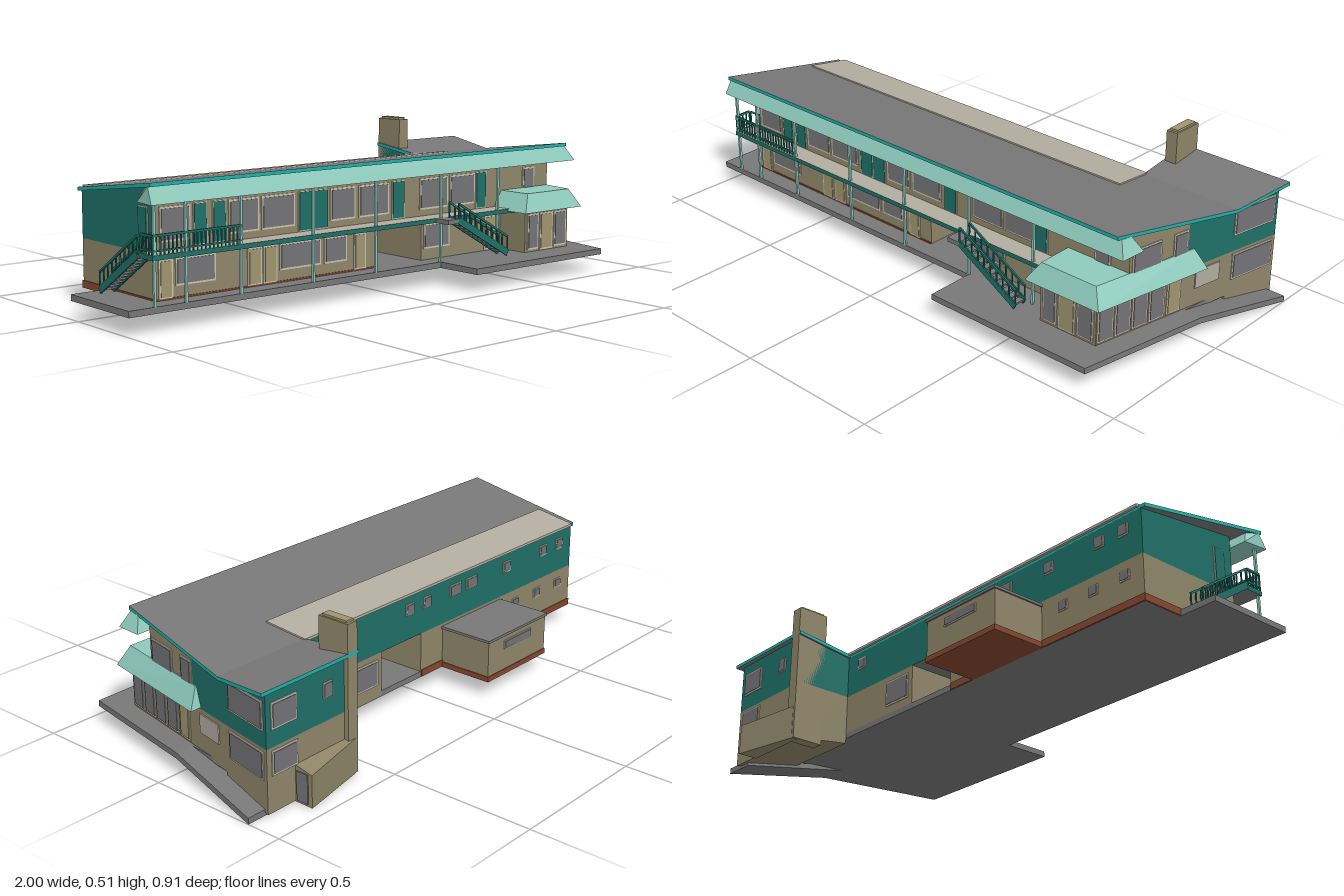
import * as THREE from 'three';

const mat = (name, color) => {
  const m = new THREE.MeshStandardMaterial({ color });
  m.name = name;
  return m;
};
const grey = mat('roof grey', 0x787878);
const beige = mat('wall beige', 0x8f8669);
const teal = mat('wall teal', 0x1f7068);
const bright = mat('fascia teal', 0x22b0a8);
const mint = mat('awning mint', 0x8ecabd);
const cream = mat('frame cream', 0xc8c2b0);
const glass = mat('window glass', 0x747478);
const brick = mat('base brick', 0x86472f);
const pale = mat('pale roof', 0xb2ada0);
const tan = mat('door tan', 0xa0956e);

// Roof height: slopes down from the front to a valley, then up to the rear
const VALLEY = -0.19;
const roofY = z => 0.377 + (z > VALLEY ? (z - VALLEY) * 0.131 : (VALLEY - z) * 0.127);
const underRoof = z => roofY(z) - 0.01;
const rampY = z => 0.077 + (z + 0.01) * 0.155;
// Slanted right-hand wall line
const wallX = z => 0.86 - 0.19 * z;

export function createModel() {
  const root = new THREE.Group();
  root.name = 'twoStoreyLodge';
  const add = (mesh, name, parent = root) => {
    mesh.name = name;
    parent.add(mesh);
    return mesh;
  };

  // Prism on an [x, z] outline (front-left first, towards the right);
  // y0 and y1 are numbers or functions of z; mats are [top, bottom, ...sides]
  function solid(name, pts, y0, y1, mats, topPts = pts) {
    const at = (y, p) => [p[0], typeof y === 'function' ? y(p[1]) : y, p[1]];
    const lo = pts.map(p => at(y0, p)), hi = topPts.map(p => at(y1, p));
    const tris = THREE.ShapeUtils.triangulateShape(pts.map(p => new THREE.Vector2(p[0], -p[1])), []);
    const pos = [], geo = new THREE.BufferGeometry();
    const list = [].concat(mats);
    const face = (corners, i) => {
      geo.addGroup(pos.length / 3, corners.length, Math.min(i, list.length - 1));
      corners.forEach(c => pos.push(...c));
    };
    face(tris.flatMap(t => t.map(k => hi[k])), 0);
    face(tris.flatMap(t => [lo[t[0]], lo[t[2]], lo[t[1]]]), 1);
    pts.forEach((_, i) => {
      const j = (i + 1) % pts.length;
      face([lo[i], lo[j], hi[j], lo[i], hi[j], hi[i]], i + 2);
    });
    geo.setAttribute('position', new THREE.Float32BufferAttribute(pos, 3));
    geo.computeVertexNormals();
    return add(new THREE.Mesh(geo, list), name);
  }
  const rect = (x0, x1, z0, z1) => [[x0, z1], [x1, z1], [x1, z0], [x0, z0]];
  function box(name, x0, x1, y0, y1, z0, z1, m, parent) {
    const b = new THREE.Mesh(new THREE.BoxGeometry(x1 - x0, y1 - y0, z1 - z0), m);
    b.position.set((x0 + x1) / 2, (y0 + y1) / 2, (z0 + z1) / 2);
    return add(b, name, parent);
  }
  function beam(name, a, b, w, h, m) {
    const p = new THREE.Vector3(...a), q = new THREE.Vector3(...b);
    const mesh = new THREE.Mesh(new THREE.BoxGeometry(w, h, p.distanceTo(q)), m);
    mesh.position.copy(p).add(q).multiplyScalar(0.5);
    mesh.lookAt(q);
    return add(mesh, name);
  }

  // Ground slab and side ramp
  solid('groundSlab', [[-1, 0.28], [0.23, 0.28], [0.23, 0.45], [0.85, 0.45], [0.934, -0.01],
    [0.87, -0.01], [0.89, -0.19], [-0.865, -0.19], [-0.865, -0.04], [-1, -0.04]], 0.057, 0.077, grey);
  solid('sideRamp', [[0.83, -0.01], [0.934, -0.01], [1, -0.38], [0.885, -0.38]],
    z => rampY(z) - 0.02, rampY, grey);

  // Lower storey, split by the open passage
  solid('lowerLeftWalls', rect(-0.865, 0, VALLEY, 0.215), 0.06, 0.215, beige);
  solid('lowerRightWalls', [[0.2, 0.215], [wallX(0.215), 0.215], [wallX(VALLEY), VALLEY], [0.2, VALLEY]],
    0.06, 0.215, beige);
  const wing = [[0.565, VALLEY], [wallX(VALLEY), VALLEY], [wallX(-0.395), -0.395], [0.565, -0.395]];
  solid('lowerWingWalls', wing, z => rampY(z) - 0.01, 0.215, beige);

  // Upper storey
  solid('upperWalls', [[-0.865, 0.215], [wallX(0.215), 0.215], [wallX(-0.02), -0.02],
    [wallX(VALLEY), VALLEY], [-0.865, VALLEY]], 0.215, underRoof, [grey, grey, beige, beige, teal, teal, teal]);
  solid('upperWingWalls', wing, 0.215, underRoof, teal);

  // Folded roof with bright edges, and the pale strip along its rear
  const roofBase = z => roofY(z) - 0.012;
  const edge = [grey, grey, bright];
  solid('mainRoof', [[-0.93, 0.293], [0.83, 0.293], [0.921, VALLEY], [-0.88, VALLEY]], roofBase, roofY, edge);
  solid('wingRoof', [[0.558, VALLEY], [0.921, VALLEY], [0.963, -0.41], [0.558, -0.41]], roofBase, roofY, edge);
  solid('paleRoofStrip', [[-0.865, -0.045], [0.575, -0.045], [0.565, -0.2], [-0.855, -0.2]],
    z => 0.377 + (z - VALLEY) * 0.131 - 0.004, z => 0.377 + (z - VALLEY) * 0.131 + 0.005, pale);

  // Sloped awnings
  solid('eaveAwning', [[-0.935, 0.306], [0.862, 0.306], [0.868, 0.215], [-0.925, 0.215]], 0.377,
    underRoof, mint, [[-0.93, 0.28], [0.835, 0.28], [0.84, 0.24], [-0.91, 0.24]]);
  solid('pavilionAwning', [[0.545, 0.37], [0.83, 0.37], [0.912, -0.06], [0.85, -0.06], [0.8, 0.215], [0.545, 0.215]],
    0.22, 0.283, mint, [[0.585, 0.34], [0.795, 0.34], [0.872, -0.04], [0.84, -0.04], [0.79, 0.215], [0.585, 0.215]]);

  // Glazed pavilion, gallery deck
  solid('pavilion', [[0.58, 0.335], [wallX(0.335), 0.335], [wallX(0.215), 0.215], [0.58, 0.215]],
    0.077, 0.222, beige);
  solid('galleryDeck', rect(-0.92, 0.58, 0.21, 0.285), 0.213, 0.228, [pale, grey, teal]);

  // Chimney and rear additions
  box('chimney', 0.565, 0.607, 0.005, 0.498, -0.41, -0.295, beige);
  box('chimneyCap', 0.571, 0.601, 0.498, 0.505, -0.4, -0.305, tan);
  solid('cellarEntry', [[0.575, -0.39], [0.82, -0.39], [0.82, -0.46], [0.575, -0.411]], 0.004,
    z => 0.125 + (z + 0.395) * 0.23, beige);
  box('cellarDoor', 0.818, 0.824, 0.012, 0.108, -0.445, -0.402, glass);
  solid('rearBlock', rect(-0.435, -0.115, -0.385, VALLEY), 0.06, 0.2, beige);
  box('rearBlockRoof', -0.44, -0.11, 0.197, 0.206, -0.39, VALLEY, grey);
  box('rearBlockBase', -0.438, -0.112, 0.057, 0.075, -0.388, VALLEY, brick);
  box('leftWallBase', -0.868, -0.003, 0.058, 0.082, -0.193, 0.218, brick);

  // Wall frames: local x runs along the wall, local z points outwards
  function wall(name, x, z, turn) {
    const g = add(new THREE.Group(), name);
    g.position.set(x, 0, z);
    g.rotation.y = turn;
    return g;
  }
  const front = wall('frontOpenings', 0, 0.215, 0);
  const porch = wall('pavilionFrontOpenings', 0, 0.335, 0);
  const rear = wall('rearOpenings', 0, VALLEY, Math.PI);
  const wingRear = wall('wingRearOpenings', 0, -0.395, Math.PI);
  const side = wall('rightOpenings', 0.86, 0, Math.atan2(1, 0.19));
  const blockRear = wall('rearBlockOpenings', 0, -0.385, Math.PI);
  const left = wall('leftOpenings', -0.865, 0, -Math.PI / 2);
  function opening(g, a, b, y0, y1, pane = glass, f = 0.006) {
    box('frame', a, b, y0, y1, -0.002, 0.003, cream, g);
    box(pane === glass ? 'pane' : 'door', a + f, b - f, y0 + f, y1 - f, -0.002, 0.005, pane, g);
  }

  // Front windows and doors
  [[-0.85, -0.74], [-0.6, -0.485], [-0.475, -0.345], [-0.2, -0.095], [-0.08, 0.05], [0.19, 0.32],
    [0.33, 0.45], [0.69, 0.75]].forEach(([a, b]) => opening(front, a, b, 0.25, 0.355));
  [[-0.73, -0.68], [-0.66, -0.61], [-0.33, -0.27], [-0.27, -0.21], [0.065, 0.12], [0.455, 0.505]]
    .forEach(([a, b]) => opening(front, a, b, 0.23, 0.357, teal, 0.003));
  [[-0.795, -0.65], [-0.405, -0.24], [-0.225, -0.13], [0.21, 0.33]]
    .forEach(([a, b]) => opening(front, a, b, 0.115, 0.2));
  [[-0.855, -0.805], [-0.53, -0.475], [-0.47, -0.415], [-0.1, -0.05], [0.5, 0.55]]
    .forEach(([a, b]) => opening(front, a, b, 0.08, 0.2, tan));
  opening(porch, 0.59, 0.645, 0.085, 0.21);
  opening(porch, 0.652, 0.718, 0.08, 0.21, tan);
  opening(porch, 0.725, 0.788, 0.085, 0.21);

  // Right side, placed by z
  const onSide = (z0, z1, y0, y1, pane) => opening(side, -z0 * 1.018, -z1 * 1.018, y0, y1, pane);
  for (let i = 0; i < 4; i++) onSide(0.332 - i * 0.067, 0.27 - i * 0.067, 0.083, 0.217);
  onSide(0.205, 0.09, 0.275, 0.357);
  onSide(0.042, -0.015, 0.225, 0.357);
  onSide(0.06, 0.004, 0.082, 0.2, tan);
  onSide(-0.21, -0.382, 0.27, 0.363);
  onSide(-0.21, -0.382, 0.113, 0.206);
  box('sidePanel', 0.056, 0.158, 0.137, 0.2, -0.002, 0.004, pale, side);

  // Rear and left side, placed by x and z
  [[0.485, 0.04], [0.06, 0.04], [-0.03, 0.04], [-0.18, 0.06], [-0.27, 0.06], [-0.47, 0.04], [-0.69, 0.04], [-0.79, 0.04]]
    .forEach(([x, w]) => opening(rear, -x - w / 2, -x + w / 2, 0.3, 0.34, glass, 0.004));
  opening(rear, -0.34, -0.22, 0.105, 0.195);
  [-0.53, -0.66, -0.79].forEach(x => opening(rear, -x - 0.02, -x + 0.02, 0.15, 0.185, glass, 0.004));
  opening(wingRear, -0.915, -0.81, 0.27, 0.355);
  opening(wingRear, -0.915, -0.81, 0.125, 0.205);
  opening(wingRear, -0.7, -0.66, 0.29, 0.34, glass, 0.004);
  opening(blockRear, 0.2, 0.35, 0.15, 0.18, glass, 0.004);
  opening(left, 0.13, 0.18, 0.23, 0.355, teal, 0.004);

  // Gallery posts and railings
  [-0.91, -0.8, -0.6, -0.32, -0.06, 0.23, 0.5].forEach(x =>
    box('galleryPost', x - 0.004, x + 0.004, 0.077, 0.38, 0.274, 0.282, mint));
  function railing(name, a, b, n, drop = 0.012) {
    const A = new THREE.Vector3(...a), B = new THREE.Vector3(...b);
    const lift = (v, y) => [v.x, v.y + y, v.z];
    beam(name + 'TopRail', lift(A, 0.057), lift(B, 0.057), 0.006, 0.007, teal);
    beam(name + 'LowRail', lift(A, drop), lift(B, drop), 0.005, 0.005, teal);
    for (let i = 0; i <= n; i++) {
      const p = A.clone().lerp(B, i / n);
      box(name + 'Baluster', p.x - 0.002, p.x + 0.002, p.y, p.y + 0.057, p.z - 0.002, p.z + 0.002, teal);
    }
  }
  railing('gallery', [-0.918, 0.228, 0.28], [-0.6, 0.228, 0.28], 22);
  railing('galleryEnd', [-0.918, 0.228, 0.28], [-0.918, 0.228, 0.22], 4);

  // Staircases: two stringers, railings and treads between the top and foot lines
  function stair(name, top, foot, across) {
    const T = new THREE.Vector3(...top), F = new THREE.Vector3(...foot), S = new THREE.Vector3(...across);
    [0, 1].forEach(k => {
      const a = T.clone().addScaledVector(S, k), b = F.clone().addScaledVector(S, k);
      beam(name + 'Stringer', a.toArray(), b.toArray(), 0.006, 0.02, teal);
      railing(name, a.toArray(), b.toArray(), 9);
    });
    const run = F.clone().sub(T).setY(0).length() / 11;
    for (let i = 0; i < 11; i++) {
      const c = T.clone().lerp(F, (i + 0.5) / 11).addScaledVector(S, 0.5);
      const dx = Math.max(Math.abs(S.x), S.x ? 0 : run) / 2, dz = Math.max(Math.abs(S.z), S.z ? 0 : run) / 2;
      box(name + 'Tread', c.x - dx, c.x + dx, c.y - 0.003, c.y + 0.003, c.z - dz, c.z + dz, grey);
    }
  }
  stair('frontStair', [0.25, 0.222, 0.298], [0.485, 0.088, 0.298], [0, 0, 0.044]);
  box('frontStairLanding', 0.2, 0.25, 0.213, 0.228, 0.285, 0.345, grey);
  stair('leftStair', [-0.922, 0.222, 0.21], [-0.922, 0.085, 0.0], [0.046, 0, 0]);

  return root;
}
